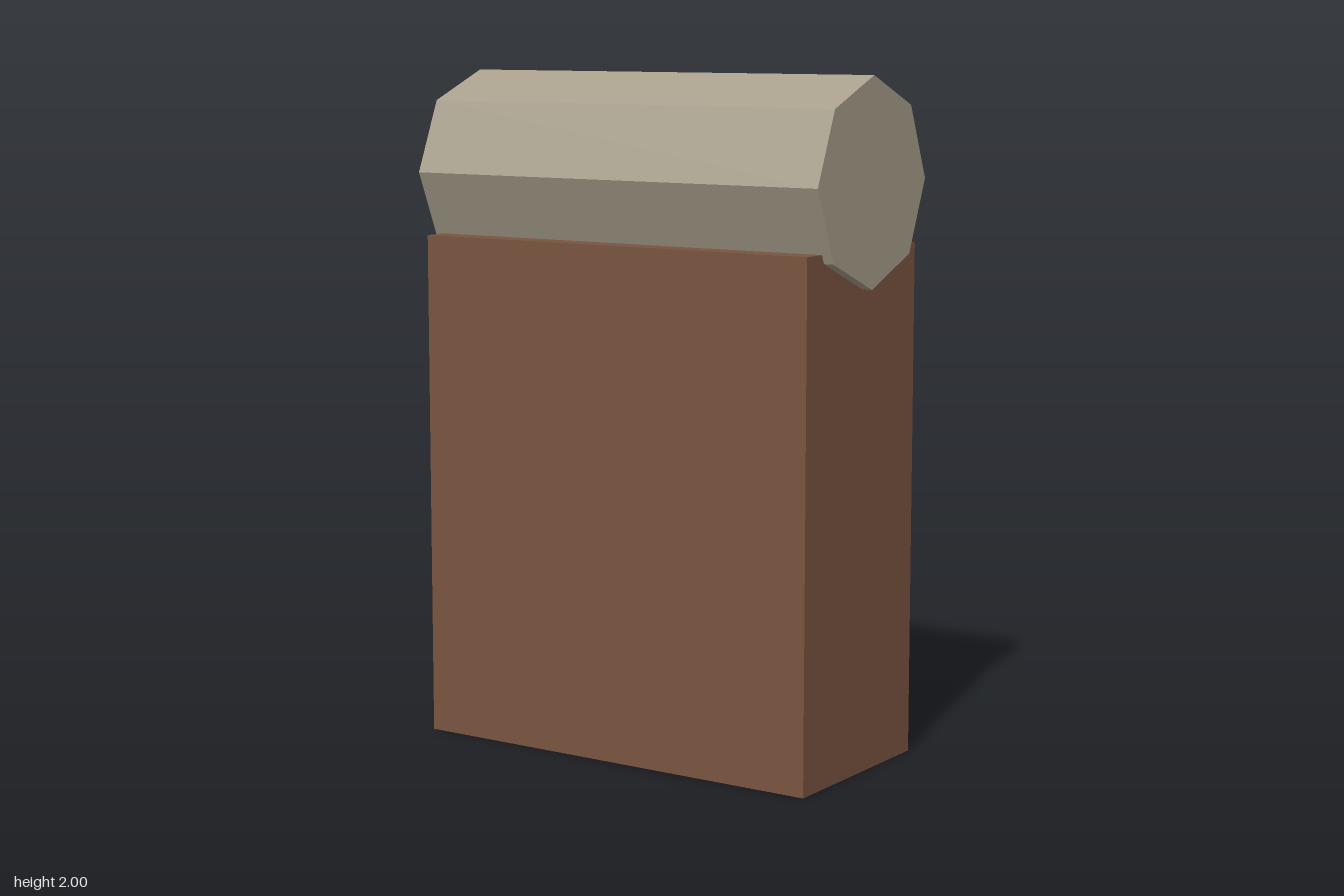
import * as THREE from 'three';

export function createModel() {
  const model = new THREE.Group();

  const addPart = (name, geometry, color, y) => {
    const material = new THREE.MeshStandardMaterial({ color, flatShading: true });
    const mesh = new THREE.Mesh(geometry, material);
    mesh.name = name;
    mesh.position.y = y;
    model.add(mesh);
    return mesh;
  };

  // Upright block standing on the ground
  const height = 1.515;
  addPart('block', new THREE.BoxGeometry(1.322, height, 0.6), 0x7a543f, height / 2);

  // Eight-sided bar lying along the top, sunk into the block
  const radius = 0.299;
  const bar = addPart('topBar', new THREE.CylinderGeometry(radius, radius, 1.384, 8), 0xa89f8b, 2 - radius);
  bar.rotation.z = Math.PI / 2;

  return model;
}
